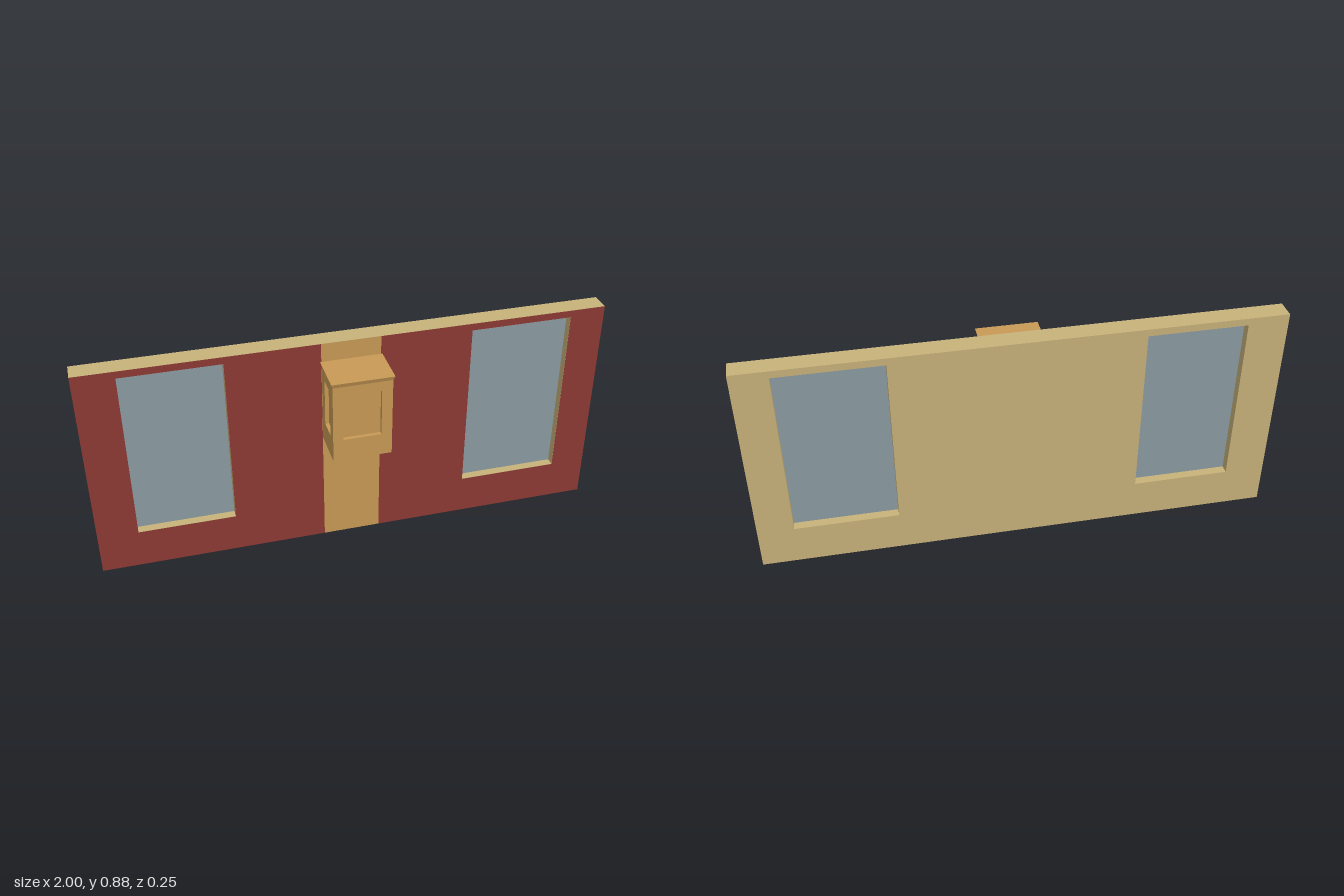
import * as THREE from 'three';

const BACK = -0.122, FRONT = -0.044, HEIGHT = 0.878;
const STRIP = 0.113;               // half width of the central strip
const BAY = { w: 0.112, y0: 0.471, y1: 0.787, z: 0.117, recess: 0.015 };
const WINDOWS = [[-0.845, -0.468], [0.467, 0.863]];
const SILL = 0.16, HEAD = 0.85;

const material = (name, color) => {
  const m = new THREE.MeshStandardMaterial({ color });
  m.name = name;
  return m;
};

// Rectangle outline, optionally with rectangular holes
function rect(x0, x1, y0, y1, holes = []) {
  const corners = (a, b, c, d) => [[a, c], [b, c], [b, d], [a, d]].map(p => new THREE.Vector2(...p));
  const shape = new THREE.Shape(corners(x0, x1, y0, y1));
  for (const h of holes) shape.holes.push(new THREE.Path(corners(...h).reverse()));
  return shape;
}

const slab = (shape, depth) => new THREE.ExtrudeGeometry(shape, { depth, bevelEnabled: false });

function block(x0, x1, y0, y1, z0, z1) {
  return new THREE.BoxGeometry(x1 - x0, y1 - y0, z1 - z0)
    .translate((x0 + x1) / 2, (y0 + y1) / 2, (z0 + z1) / 2);
}

export function createModel() {
  const model = new THREE.Group();
  model.name = 'wallPanel';
  const tan = material('tan', 0xc8b27a);
  const red = material('brickRed', 0x8e3a34);
  const ochre = material('ochre', 0xc99a55);
  const glass = material('glass', 0x8b9ca4);

  const add = (name, geometry, mat, parent = model) => {
    const mesh = new THREE.Mesh(geometry, mat);
    mesh.name = name;
    parent.add(mesh);
    return mesh;
  };

  // Wall with two window openings
  const openings = WINDOWS.map(([a, b]) => [a, b, SILL, HEAD]);
  add('wall', slab(rect(-1, 1, 0, HEIGHT, openings), FRONT - BACK - 0.001), tan).position.z = BACK;

  // Painted front faces
  const paint = (name, shape, mat) => {
    add(name, new THREE.ShapeGeometry(shape), mat).position.z = FRONT;
  };
  paint('leftFacing', rect(STRIP, 1, 0, HEIGHT, [openings[1]]), red);
  paint('rightFacing', rect(-1, -STRIP, 0, HEIGHT, [openings[0]]), red);
  paint('centreStrip', rect(-STRIP, STRIP, 0, HEIGHT), ochre);

  // Window panes set midway in the wall
  const mid = (BACK + FRONT) / 2;
  WINDOWS.forEach(([a, b], i) => {
    add(i ? 'leftPane' : 'rightPane', block(a, b, SILL, HEAD, mid - 0.004, mid + 0.004), glass);
  });

  // Projecting bay with a recessed panel on three sides
  const bay = new THREE.Group();
  bay.name = 'bay';
  model.add(bay);
  const { w, y0, y1, z, recess } = BAY;
  add('bayCore', block(-w + recess, w - recess, y0, y1, FRONT, z - recess), ochre, bay);
  add('bayFrontFrame', slab(rect(-w, w, y0, y1, [[-0.074, 0.071, 0.56, 0.747]]), recess), ochre, bay)
    .position.z = z - recess;
  for (const [name, x] of [['bayLeftFrame', w], ['bayRightFrame', -w + recess]]) {
    const frame = rect(FRONT, z - recess, y0, y1, [[-0.004, 0.077, 0.56, 0.747]]);
    const side = add(name, slab(frame, recess), ochre, bay);
    side.rotation.y = -Math.PI / 2;
    side.position.x = x;
  }

  // Flared cap: the top edge is pushed out on three sides
  const cap = block(-w, w, y1, 0.804, FRONT, z);
  const p = cap.attributes.position;
  for (let i = 0; i < p.count; i++) {
    if (p.getY(i) < 0.8) continue;
    p.setX(i, p.getX(i) + Math.sign(p.getX(i)) * 0.006);
    if (p.getZ(i) > 0) p.setZ(i, p.getZ(i) + 0.006);
  }
  cap.computeVertexNormals();
  add('bayCap', cap, ochre, bay);

  return model;
}
